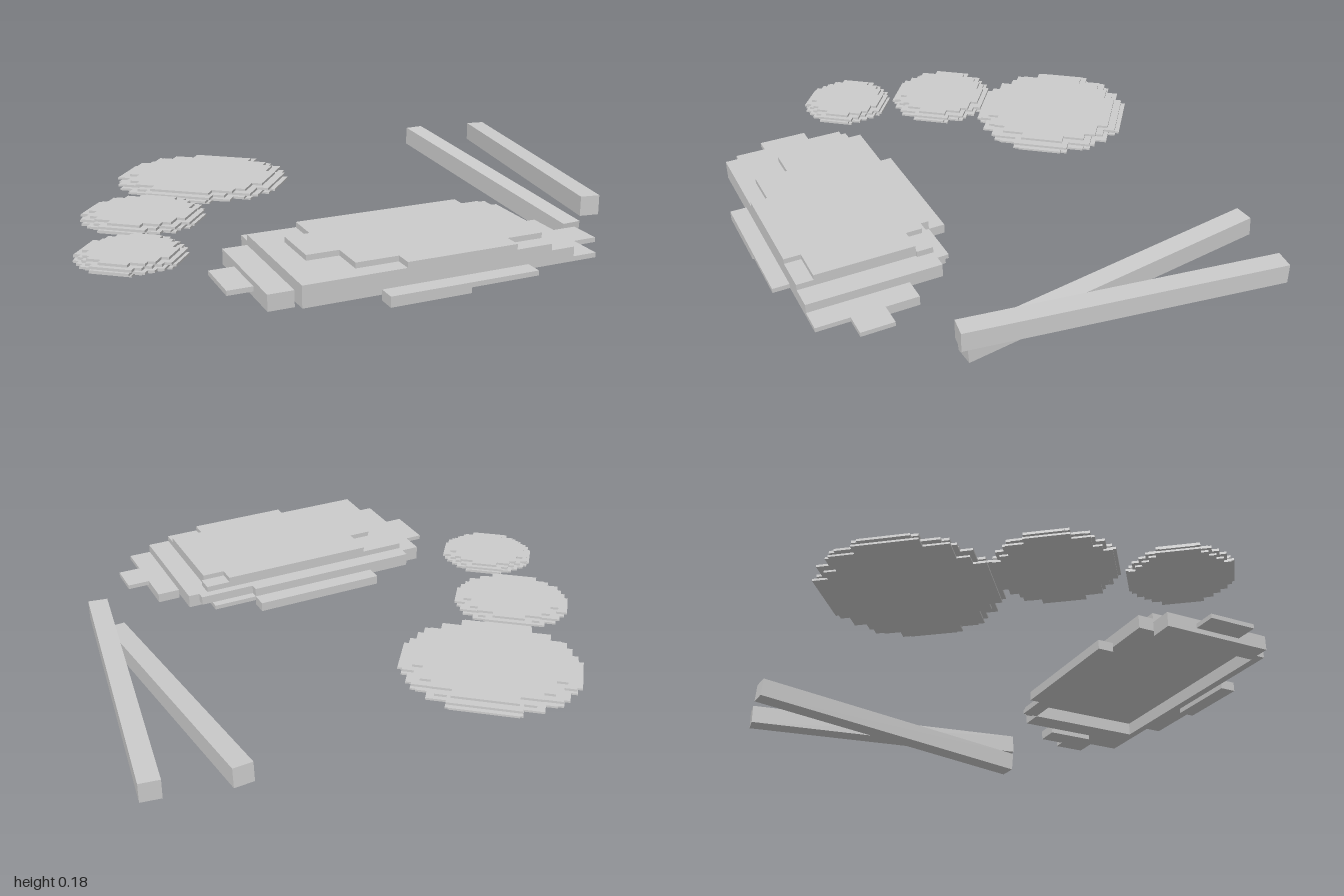
import * as THREE from 'three';

const material = new THREE.MeshStandardMaterial({ color: 0xcccccc, flatShading: true });

function addMesh(parent, name, geometry) {
  const mesh = new THREE.Mesh(geometry, material);
  mesh.name = name;
  parent.add(mesh);
  return mesh;
}

const toVectors = (points) => points.map(([x, y]) => new THREE.Vector2(x, y));

// Flat slab with the given outline and optional hole, lying between two heights
function slab(parent, name, points, bottom, top, hole) {
  const shape = new THREE.Shape(toVectors(points));
  if (hole) shape.holes.push(new THREE.Path(toVectors(hole)));
  const geometry = new THREE.ExtrudeGeometry(shape, { depth: top - bottom, bevelEnabled: false });
  geometry.rotateX(-Math.PI / 2).translate(0, bottom, 0);
  return addMesh(parent, name, geometry);
}

// Square stick running between two points
function stick(parent, name, from, to) {
  const a = new THREE.Vector3(...from), b = new THREE.Vector3(...to);
  const mesh = addMesh(parent, name, new THREE.BoxGeometry(0.066, 0.066, a.distanceTo(b)));
  mesh.position.copy(a).add(b).multiplyScalar(0.5);
  mesh.lookAt(b);
}

// Stepped outline of an ellipse made of near-square cells
function steppedEllipse(rx, ry, cell) {
  const rows = Math.round((2 * ry) / cell);
  const columns = Math.round(rx / cell);
  const h = (2 * ry) / rows;
  const right = [];
  for (let i = 0; i < rows; i++) {
    const y = -ry + i * h;
    const t = (y + h / 2) / ry;
    const w = (Math.max(1, Math.round(columns * Math.sqrt(1 - t * t))) * rx) / columns;
    right.push([w, y], [w, y + h]);
  }
  const left = right.map(([x, y]) => [-x, y]).reverse();
  // Drop doubled corners where neighbouring rows share a width
  return [...right, ...left].filter((p, i, all) => {
    const q = all[(i + 1) % all.length];
    return Math.hypot(p[0] - q[0], p[1] - q[1]) > 1e-6;
  });
}

const rectangle = (a0, a1, b0, b1) => [[a0, b0], [a1, b0], [a1, b1], [a0, b1]];

// Board layers on a cell grid, from bottom to top: [bottom, top, outline, hole]
const hollow = rectangle(-4, 3.5, -4.6, 5);
const boardLayers = [
  [0.105, 0.12, [[-6, -3], [-6, 3], [-5, 3], [-5, 5], [-4, 5], [-4, 6], [-2, 6], [-2, 7], [0, 7],
    [0, 8], [2, 8], [2, 7], [4, 7], [4, 4], [5, 4], [5, -2], [4, -2], [4, -5], [3, -5], [3, -6],
    [1, -6], [1, -7], [-2, -7], [-2, -6], [-4, -6], [-4, -5], [-5, -5], [-5, -3]], hollow],
  [0.12, 0.15, [[-5, -5], [4, -5], [4, 6], [-4, 6], [-4, 5.5], [-4.5, 5.5], [-4.5, 3], [-5, 3]],
    hollow],
  [0.15, 0.17, [[-4, -5], [4, -5], [4, 5], [-3, 5], [-3, 5.1], [-4, 5.1]]],
  [0.17, 0.187, [[-4, -3], [-2, -3], [-2, -4], [1, -4], [1, -2.7], [3, -2.7], [3, -1], [4, -1],
    [4, 3.5], [3, 3.5], [3, 5], [-3, 5], [-3, 4], [-4, 4]]],
];

// Strips hanging under the board's rim: [a0, a1, b0, b1]
const rimStrips = [[-4, 3, -6, -5], [4, 5, -2, 1.2], [-6, -5, -3, 3], [-2, 1, 6, 7]];

// Discs: name, x, z, half width, half depth, cell size
const discs = [
  ['largeDisc', -0.587, 0.13, 0.295, 0.268, 0.038],
  ['mediumDisc', -0.466, 0.555, 0.197, 0.18, 0.026],
  ['smallDisc', -0.235, 0.84, 0.162, 0.153, 0.021],
];

// Disc layers: bottom, top, scale of the outline
const discLayers = [
  [0.104, 0.11, 0.95],
  [0.11, 0.117, 1],
  [0.117, 0.125, 0.94],
  [0.125, 0.133, 0.84],
];

export function createModel() {
  const model = new THREE.Group();

  // Pair of sticks, one level and one leaning down
  stick(model, 'levelStick', [-0.08, 0.131, -0.973], [0.713, 0.131, -0.302]);
  stick(model, 'leaningStick', [-0.254, 0.13, -0.775], [0.66, 0.036, -0.282]);

  // Long stepped board, hollow underneath
  const board = new THREE.Group();
  board.name = 'board';
  board.position.set(0.423, 0, 0.419);
  board.rotation.y = -0.55;
  const toSize = ([a, b]) => [a * 0.0548, b * 0.0772];
  boardLayers.forEach(([bottom, top, cells, hole], i) => {
    slab(board, `boardLayer${i + 1}`, cells.map(toSize), bottom, top, hole?.map(toSize));
  });
  rimStrips.forEach((strip, i) => {
    slab(board, `rimStrip${i + 1}`, rectangle(...strip).map(toSize), 0.088, 0.105);
  });
  // Raised end block
  slab(board, 'endBlock', rectangle(-4, 3, -6, -5).map(toSize), 0.12, 0.137);
  model.add(board);

  // Three stepped discs of falling size
  for (const [name, x, z, rx, rz, cell] of discs) {
    const disc = new THREE.Group();
    disc.name = name;
    disc.position.set(x, 0, z);
    disc.rotation.y = 0.36;
    discLayers.forEach(([bottom, top, s], i) => {
      slab(disc, `${name}Layer${i + 1}`, steppedEllipse(rx * s, rz * s, cell), bottom, top);
    });
    model.add(disc);
  }

  return model;
}
